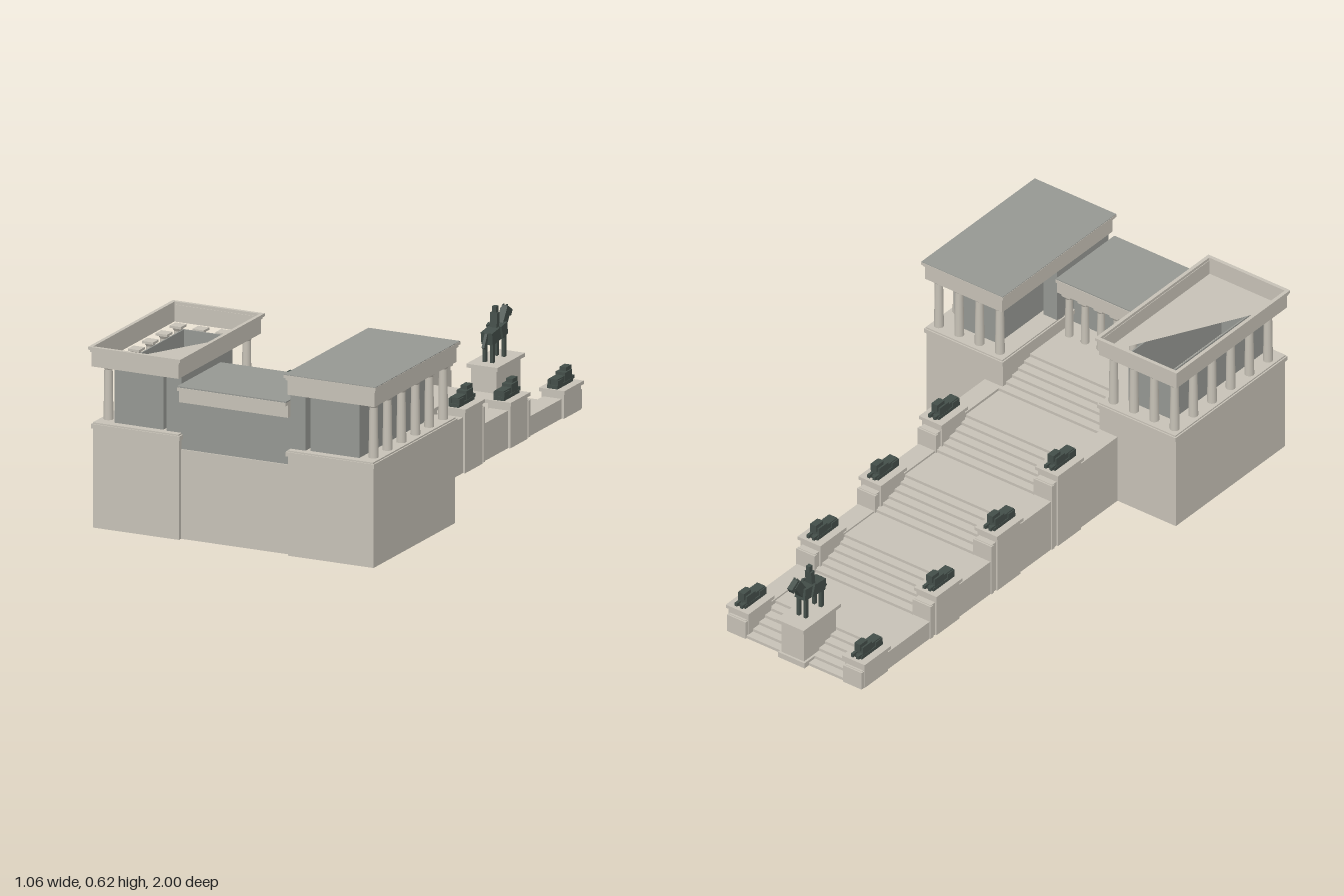
import * as THREE from 'three';

export function createModel() {
  const root = new THREE.Group();
  const mat = (name, color) => {
    const m = new THREE.MeshStandardMaterial({ color, side: THREE.DoubleSide });
    m.name = name;
    return m;
  };
  const stone = mat('pale stone', 0xc6c1b6);
  const slate = mat('grey wall', 0x959792);
  const bronze = mat('dark bronze', 0x434e49);

  const add = (parent, name, geo, m) => {
    const mesh = new THREE.Mesh(geo, m);
    mesh.name = name;
    parent.add(mesh);
    return mesh;
  };
  // box given by its ranges
  const box = (parent, name, m, x0, x1, y0, y1, z0, z1) => {
    const g = new THREE.BoxGeometry(x1 - x0, y1 - y0, z1 - z0);
    g.translate((x0 + x1) / 2, (y0 + y1) / 2, (z0 + z1) / 2);
    return add(parent, name, g, m);
  };
  // thin hollow rectangular wall ring, open at top and bottom
  const ring = (parent, name, m, x0, x1, y0, y1, z0, z1, t = 0.005) => {
    const rect = (P, d) => {
      const p = new P();
      p.moveTo(x0 + d, -z1 + d).lineTo(x1 - d, -z1 + d).lineTo(x1 - d, -z0 - d).lineTo(x0 + d, -z0 - d).closePath();
      return p;
    };
    const s = rect(THREE.Shape, 0);
    s.holes.push(rect(THREE.Path, t));
    const g = new THREE.ExtrudeGeometry(s, { depth: y1 - y0, bevelEnabled: false });
    g.rotateX(-Math.PI / 2).translate(0, y0, 0);
    return add(parent, name, g, m);
  };
  // tapered column with base and capital
  const column = (parent, x, z, y0, y1, r) => {
    const g = new THREE.Group();
    g.name = 'column';
    const h = y1 - y0;
    const shaft = new THREE.CylinderGeometry(r * 0.82, r, h, 12);
    shaft.translate(0, h / 2, 0);
    add(g, 'shaft', shaft, stone);
    const echinus = new THREE.CylinderGeometry(r * 1.25, r * 0.82, 0.012, 12);
    echinus.translate(0, h - 0.013, 0);
    add(g, 'capital', echinus, stone);
    box(g, 'abacus', stone, -r * 1.25, r * 1.25, h - 0.008, h, -r * 1.25, r * 1.25);
    g.position.set(x, y0, z);
    parent.add(g);
  };

  // side pavilions; the right one has lost half its ceiling and its roof
  for (const s of [1, -1]) {
    const p = new THREE.Group();
    p.name = s > 0 ? 'leftPavilion' : 'rightPavilion';
    root.add(p);
    const span = (f, name, m, a, b, ...r) => f(p, name, m, Math.min(s * a, s * b), Math.max(s * a, s * b), ...r);
    span(box, 'podium', stone, 0.2, 0.515, 0, 0.34, 0.4, 0.985);
    span(box, 'podiumCornice', stone, 0.195, 0.52, 0.34, 0.355, 0.392, 0.992);
    span(box, 'podiumTop', stone, 0.2, 0.515, 0.355, 0.36, 0.397, 0.988);
    span(ring, 'cellaWall', slate, 0.27, 0.45, 0.36, 0.55, 0.465, 0.96);
    span(box, 'innerWall', slate, 0.2, 0.255, 0.305, 0.55, 0.69, 0.965);
    for (let i = 0; i < 6; i++) column(p, s * 0.487, 0.43 + 0.1 * i, 0.36, 0.55, 0.0165);
    for (let i = 0; i < 3; i++) column(p, s * (0.235 + 0.084 * i), 0.43, 0.36, 0.55, 0.0165);
    span(ring, 'architrave', stone, 0.2, 0.52, 0.55, 0.6, 0.397, 0.988);
    span(ring, 'lowerCornice', stone, 0.196, 0.524, 0.6, 0.608, 0.393, 0.992, 0.009);
    span(ring, 'upperCornice', stone, 0.19, 0.528, 0.608, 0.618, 0.387, 0.996, 0.013);
    if (s > 0) {
      span(box, 'ceiling', stone, 0.203, 0.517, 0.55, 0.555, 0.4, 0.985);
      span(box, 'roof', slate, 0.191, 0.527, 0.612, 0.62, 0.388, 0.995);
    } else {
      const tri = new THREE.Shape([[-0.517, -0.985], [-0.203, -0.985], [-0.203, -0.4]].map(a => new THREE.Vector2(...a)));
      const g = new THREE.ShapeGeometry(tri);
      g.rotateX(-Math.PI / 2).translate(0, 0.555, 0);
      add(p, 'brokenCeiling', g, stone);
    }
  }

  // central gatehouse
  const gate = new THREE.Group();
  gate.name = 'gatehouse';
  root.add(gate);
  box(gate, 'gatePodium', stone, -0.2, 0.2, 0, 0.305, 0.58, 0.97);
  box(gate, 'gateWall', slate, -0.2, 0.2, 0.305, 0.47, 0.78, 0.965);
  box(gate, 'gateArchitrave', stone, -0.2, 0.2, 0.47, 0.513, 0.69, 0.985);
  box(gate, 'gateCornice', stone, -0.2, 0.2, 0.513, 0.524, 0.683, 1);
  box(gate, 'gateRoof', slate, -0.2, 0.2, 0.524, 0.528, 0.685, 0.998);
  for (let i = 0; i < 6; i++) column(gate, -0.165 + 0.066 * i, 0.71, 0.305, 0.47, 0.0145);

  // stairs: five flights with landings, as one folded sheet
  const starts = [-0.97, -0.6, -0.275, 0.05, 0.385, 0.6];
  const rise = 0.061, steps = 6;
  const profile = [];
  for (let f = 0; f < 5; f++) {
    for (let k = 0; k < steps; k++) {
      const z = starts[f] + 0.032 * k;
      profile.push([rise * (f + k / steps), z], [rise * (f + (k + 1) / steps), z]);
    }
  }
  profile.push([0.305, 0.6]);
  const pos = [];
  for (let i = 0; i < profile.length - 1; i++) {
    const [ya, za] = profile[i], [yb, zb] = profile[i + 1];
    const a0 = [-0.207, ya, za], b0 = [0.207, ya, za], a1 = [-0.207, yb, zb], b1 = [0.207, yb, zb];
    pos.push(...a0, ...a1, ...b0, ...b0, ...a1, ...b1);
  }
  const stairGeo = new THREE.BufferGeometry();
  stairGeo.setAttribute('position', new THREE.Float32BufferAttribute(pos, 3));
  stairGeo.computeVertexNormals();
  add(root, 'stairs', stairGeo, stone);

  // reclining beast facing the foot of the stairs
  const beast = (x, y, z) => {
    const g = new THREE.Group();
    g.name = 'beast';
    box(g, 'plinth', bronze, -0.019, 0.019, 0, 0.012, -0.05, 0.062);
    box(g, 'body', bronze, -0.016, 0.016, 0.012, 0.032, -0.025, 0.058);
    box(g, 'chest', bronze, -0.018, 0.018, 0.012, 0.042, -0.042, 0.005);
    box(g, 'head', bronze, -0.012, 0.012, 0.03, 0.055, -0.05, -0.012);
    for (const s of [-1, 1]) {
      box(g, 'paw', bronze, s * 0.011 - 0.005, s * 0.011 + 0.005, 0.006, 0.018, -0.064, -0.03);
      box(g, 'haunch', bronze, s * 0.015 - 0.005, s * 0.015 + 0.005, 0.01, 0.028, 0.025, 0.06);
    }
    g.position.set(x, y, z);
    root.add(g);
  };

  // stepped side walls with pedestals
  const tops = [0.067, 0.128, 0.19, 0.253];
  const centres = [-0.9, -0.515, -0.19, 0.135];
  for (const s of [-1, 1]) {
    for (let i = 0; i < 4; i++) {
      const w = new THREE.Group();
      w.name = 'stairWall';
      w.position.x = s * 0.24;
      root.add(w);
      const z0 = starts[i], z1 = i < 3 ? starts[i + 1] : 0.4, t = tops[i], c = centres[i];
      box(w, 'wall', stone, -0.034, 0.034, 0, t, z0, z1);
      box(w, 'endPier', stone, -0.038, 0.038, 0, t - 0.002, z0 - 0.006, z0 + 0.008);
      box(w, 'pedestal', stone, -0.04, 0.042, 0, t + 0.018, c - 0.062, c + 0.062);
      box(w, 'pedestalCap', stone, -0.046, 0.048, t + 0.018, t + 0.03, c - 0.07, c + 0.07);
      beast(s * 0.24, t + 0.03, c);
    }
  }

  // statue pedestal at the foot of the stairs
  box(root, 'statueBase', stone, -0.055, 0.055, 0, 0.02, -0.993, -0.805);
  box(root, 'statuePedestal', stone, -0.047, 0.047, 0.02, 0.14, -0.985, -0.815);
  box(root, 'statueCap', stone, -0.057, 0.057, 0.14, 0.153, -1, -0.8);

  // horse and rider
  const statue = new THREE.Group();
  statue.name = 'horseAndRider';
  root.add(statue);
  const limb = (name, x, y, z, w, h, d, tilt = 0) => {
    const m = add(statue, name, new THREE.BoxGeometry(w, h, d), bronze);
    m.position.set(x, y, z);
    m.rotation.x = tilt;
  };
  limb('body', 0, 0.242, -0.89, 0.042, 0.042, 0.11, 0.12);
  limb('neck', 0, 0.275, -0.953, 0.024, 0.065, 0.032, -0.6);
  limb('head', 0, 0.297, -0.978, 0.02, 0.022, 0.044, -0.55);
  limb('tail', 0, 0.23, -0.825, 0.01, 0.05, 0.014, -0.5);
  for (const s of [-1, 1]) {
    limb('hindLeg', s * 0.014, 0.19, -0.85, 0.011, 0.076, 0.013);
    limb('foreLeg', s * 0.014, 0.19, -0.932, 0.011, 0.076, 0.013);
    limb('ear', s * 0.006, 0.313, -0.967, 0.005, 0.014, 0.006);
    limb('riderLeg', s * 0.024, 0.248, -0.9, 0.009, 0.045, 0.016, 0.3);
  }
  limb('riderTorso', 0, 0.287, -0.892, 0.026, 0.05, 0.018, -0.1);
  limb('riderHead', 0, 0.322, -0.896, 0.015, 0.022, 0.016);
  return root;
}
